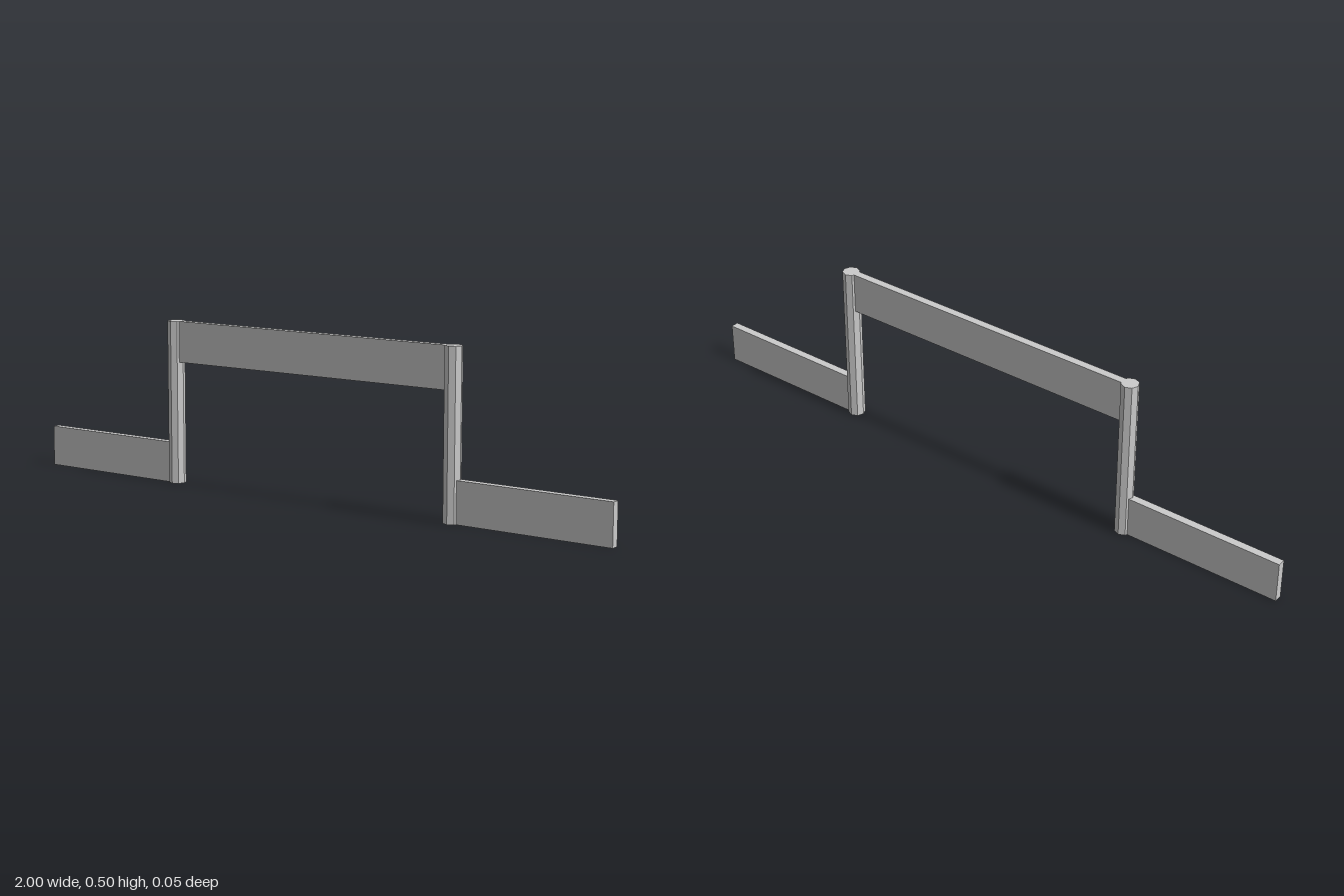
import * as THREE from 'three';

export function createModel() {
  const group = new THREE.Group();
  const material = new THREE.MeshStandardMaterial({ color: 0xcccccc, flatShading: true });

  const height = 0.495, postX = 0.495, postRadius = 0.026;
  const railHeight = 0.124, railDepth = 0.024;

  const add = (name, geometry, x, y) => {
    const mesh = new THREE.Mesh(geometry, material);
    mesh.name = name;
    mesh.position.set(x, y, 0);
    group.add(mesh);
  };
  const rail = (length) => new THREE.BoxGeometry(length, railHeight, railDepth);

  // Raised rail spanning the two posts
  add('upperRail', rail(2 * postX), 0, height - railHeight / 2);

  // Octagonal posts and the low rails running outward from them
  for (const [side, s] of [['left', 1], ['right', -1]]) {
    add(side + 'Post', new THREE.CylinderGeometry(postRadius, postRadius, height, 8), s * postX, height / 2);
    add(side + 'LowerRail', rail(1 - postX), s * (1 + postX) / 2, railHeight / 2);
  }
  return group;
}
